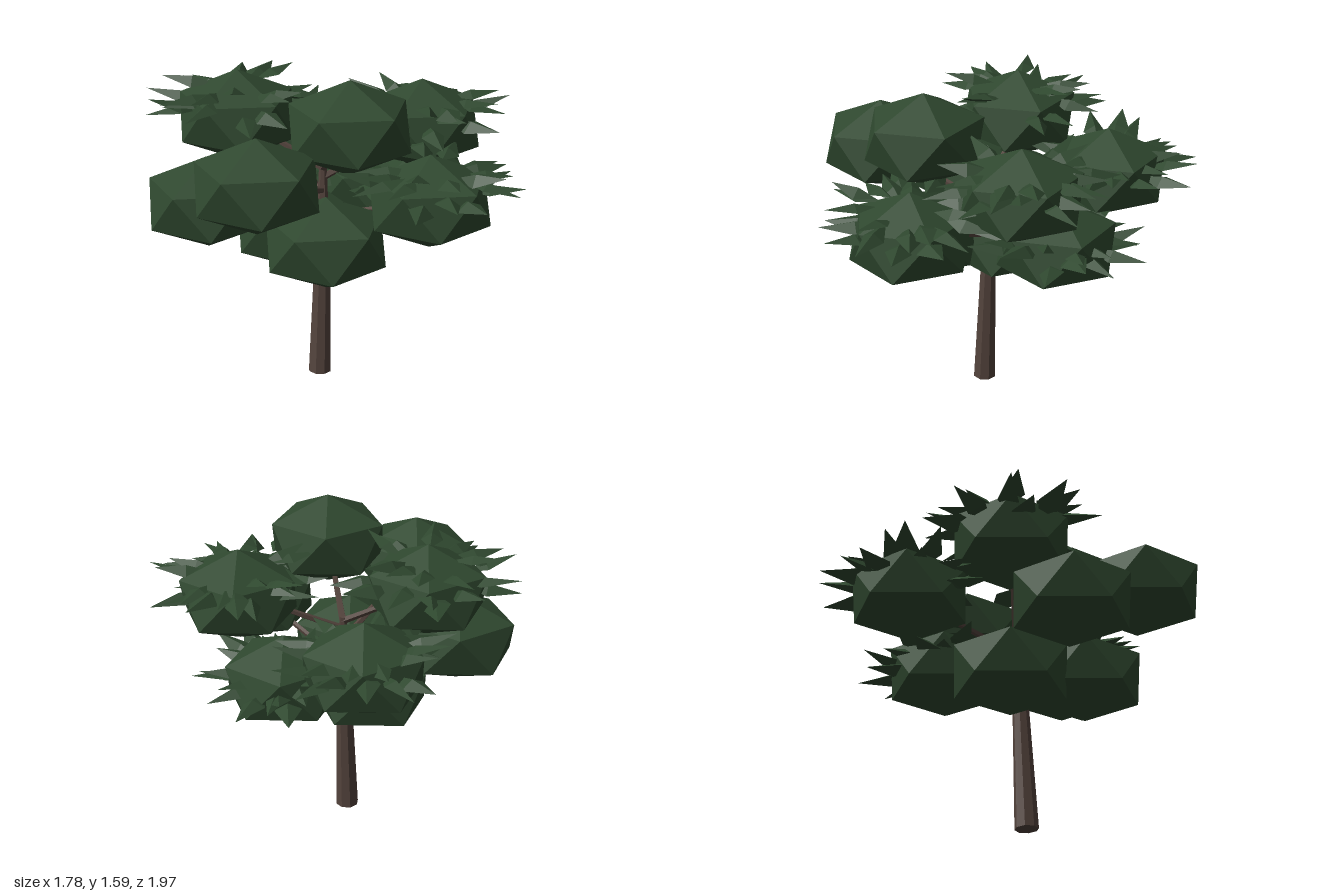
import * as THREE from 'three';
import { ConvexGeometry } from 'three/addons/geometries/ConvexGeometry.js';
import { mergeGeometries } from 'three/addons/utils/BufferGeometryUtils.js';

const V = (x, y, z) => new THREE.Vector3(x, y, z);

function seeded(seed) {
  return () => {
    seed = (seed * 16807) % 2147483647;
    return seed / 2147483647;
  };
}

// Twelve-point clump standing on its pole, flattened in height
function clumpGeometry() {
  const R = 0.318, H = 0.226;
  const pts = [V(0, H, 0), V(0, -H, 0)];
  for (let i = 0; i < 5; i++) {
    const a = (i * Math.PI * 2) / 5, r = R * 0.894;
    pts.push(V(Math.cos(a) * r, H * 0.447, Math.sin(a) * r));
    pts.push(V(-Math.cos(a) * r, -H * 0.447, Math.sin(a) * r));
  }
  return new ConvexGeometry(pts);
}

// Pointed leaf along +x with a raised ridge and a flat underside
function leafGeometry(length, width) {
  const base = V(0, 0, 0), tip = V(length, 0, 0);
  const l = V(length * 0.4, -0.015, -width / 2), r = V(length * 0.4, -0.015, width / 2);
  const ridge = V(length * 0.42, 0.022, 0);
  const tris = [base, ridge, l, l, ridge, tip, base, r, ridge, r, tip, ridge, base, l, r, l, tip, r];
  const g = new THREE.BufferGeometry().setFromPoints(tris);
  g.computeVertexNormals();
  return g;
}

// Rings of leaves: count, outer reach, lowest and highest start, length
const RINGS = [
  [14, 0.44, -0.03, 0.07, 0.28],
  [9, 0.375, 0.04, 0.09, 0.25],
];

// Leaves fan over an arc facing away from the trunk, raised by lift
function leavesGeometry(seed, facing, lift) {
  const rnd = seeded(seed);
  const arc = Math.PI * 1.8;
  const leaves = [];
  for (const [count, reach, low, high, length] of RINGS) {
    for (let i = 0; i < count; i++) {
      const len = length * (0.9 + rnd() * 0.2);
      const g = leafGeometry(len, 0.1 + rnd() * 0.03);
      g.rotateX((rnd() - 0.5) * 0.7);
      g.rotateZ((rnd() - 0.4) * 0.5);
      g.rotateY((rnd() - 0.5) * 0.4);
      g.translate(reach - len + (rnd() - 0.5) * 0.05, lift + low + rnd() * (high - low), 0);
      g.rotateY(facing + ((i + 0.5 + (rnd() - 0.5) * 0.5) / count - 0.5) * arc);
      leaves.push(g);
    }
  }
  return mergeGeometries(leaves);
}

// Tapered limb between two points
function limb(name, a, b, r0, r1, sides, material) {
  const dir = b.clone().sub(a);
  const g = new THREE.CylinderGeometry(r1, r0, dir.length(), sides).toNonIndexed();
  g.computeVertexNormals();
  const mesh = new THREE.Mesh(g, material);
  mesh.name = name;
  mesh.position.copy(a).add(b).multiplyScalar(0.5);
  mesh.quaternion.setFromUnitVectors(V(0, 1, 0), dir.normalize());
  return mesh;
}

export function createModel() {
  const tree = new THREE.Group();
  tree.name = 'tree';
  const foliage = new THREE.MeshStandardMaterial({ color: 0x2f482f, flatShading: true, side: THREE.DoubleSide });
  foliage.name = 'dark green foliage';
  const bark = new THREE.MeshStandardMaterial({ color: 0x54443d, flatShading: true });
  bark.name = 'brown bark';

  // Trunk, slightly leaning, with a thin upper stem
  const fork = V(-0.057, 0.64, 0.04);
  const crown = V(-0.045, 1.08, 0.02);
  tree.add(limb('trunk', V(-0.08, 0, 0.055), fork, 0.058, 0.04, 8, bark));
  tree.add(limb('upperStem', fork, crown, 0.038, 0.018, 6, bark));

  // Clumps: x, y, z, height of the branch along the upper stem, lift of the leaves if any
  const clumps = [
    [-0.065, 1.36, 0.357, 0.95],
    [-0.55, 1.17, 0.415, 0.7],
    [-0.18, 0.815, 0.345, 0],
    [-0.15, 0.745, -0.09, 0],
    [-0.605, 0.945, -0.07, 0.5],
    [0.255, 1.02, 0.545, 0.4, 0.08],
    [-0.375, 1.295, -0.25, 0.95, 0.07],
    [0.455, 1.235, 0.08, 0.85, 0.06],
    [0.3, 0.88, -0.165, 0.2, 0],
    [0.03, 1.085, -0.56, 0.6, 0.03],
  ];
  const clump = clumpGeometry();
  clumps.forEach(([x, y, z, t, lift], i) => {
    const center = V(x, y, z);
    const group = new THREE.Group();
    group.name = 'foliageClump' + (i + 1);
    group.position.copy(center);
    const body = new THREE.Mesh(clump, foliage);
    body.name = 'clumpBody';
    group.add(body);
    if (lift !== undefined) {
      const leaves = new THREE.Mesh(leavesGeometry(1234 + i * 777, Math.atan2(-z, x), lift), foliage);
      leaves.name = 'leaves';
      group.add(leaves);
    }
    tree.add(group);
    tree.add(limb('branch' + (i + 1), fork.clone().lerp(crown, t), center, 0.018, 0.01, 5, bark));
  });
  return tree;
}
